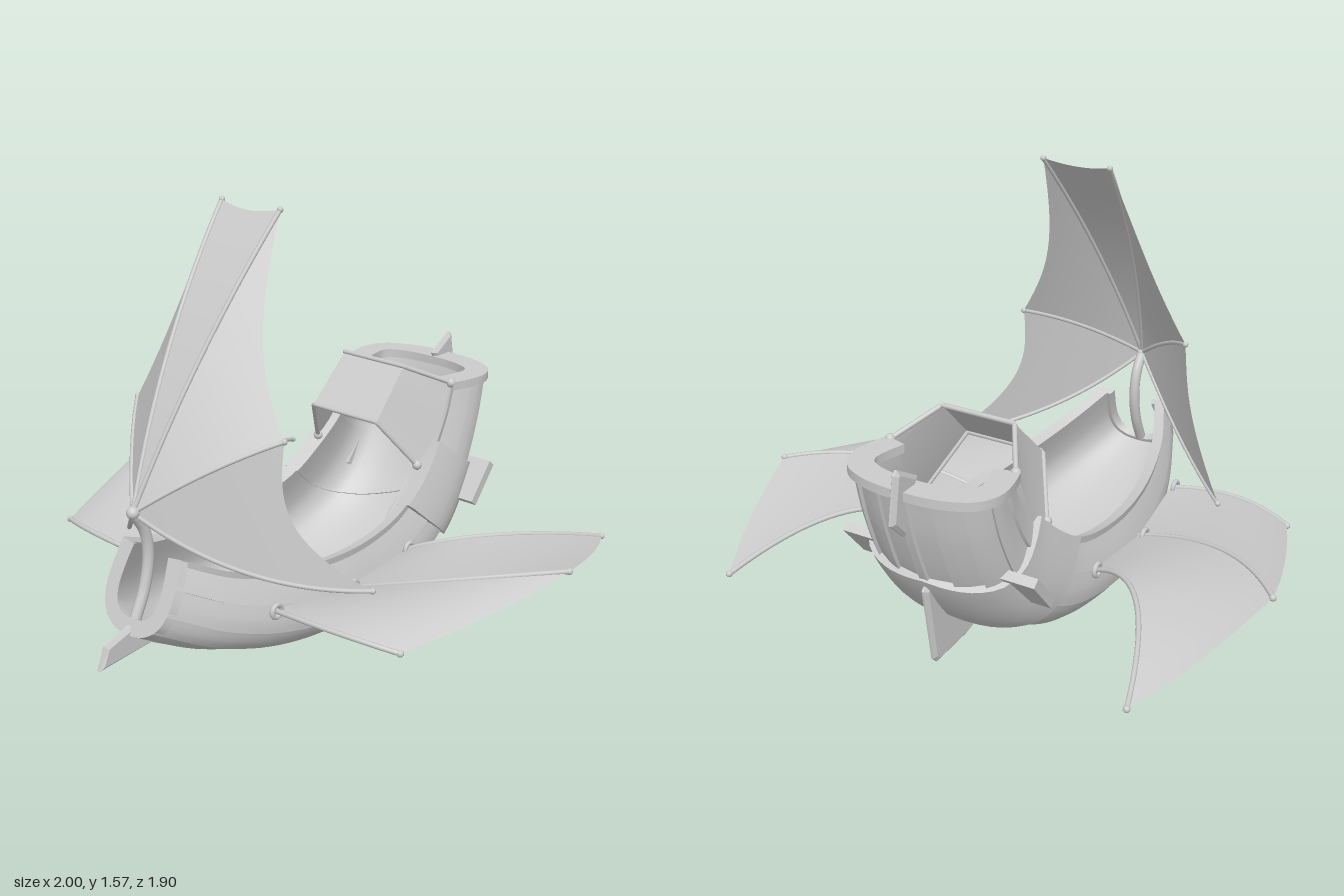
import * as THREE from 'three';
import { toCreasedNormals, mergeGeometries } from 'three/addons/utils/BufferGeometryUtils.js';

const V = (x, y, z) => new THREE.Vector3(x, y, z);
const grey = new THREE.MeshStandardMaterial({ color: 0xcccccc, side: THREE.DoubleSide });

function add(parent, name, geometry) {
  const mesh = new THREE.Mesh(geometry, grey);
  mesh.name = name;
  parent.add(mesh);
  return mesh;
}

// Surface through rows of points
function surface(rows, crease = 0.5, closed = false) {
  const n = rows[0].length, index = [];
  const cols = closed ? n : n - 1;
  for (let i = 0; i < rows.length - 1; i++) {
    for (let j = 0; j < cols; j++) {
      const a = i * n + j, b = i * n + (j + 1) % n;
      index.push(a, b, a + n, b, b + n, a + n);
    }
  }
  const g = new THREE.BufferGeometry().setFromPoints(rows.flat());
  g.setIndex(index);
  g.computeVertexNormals();
  return toCreasedNormals(g, crease);
}

// Hull stations: keel and gunwale (z, y) and half width, bow to stern
const stations = [
  [0.82, 0.24, 0.70, 0.50, 0.145], [0.60, 0.125, 0.53, 0.42, 0.23],
  [0.37, 0.05, 0.33, 0.375, 0.29], [0.10, 0.016, 0.10, 0.36, 0.325],
  [-0.18, 0.03, -0.10, 0.37, 0.325], [-0.42, 0.095, -0.26, 0.41, 0.315],
  [-0.60, 0.20, -0.40, 0.50, 0.30], [-0.74, 0.38, -0.50, 0.60, 0.28],
  [-0.83, 0.60, -0.57, 0.71, 0.27], [-0.875, 0.785, -0.60, 0.785, 0.265]];
const last = stations.length - 1;
const keelLine = new THREE.CatmullRomCurve3(stations.map(s => V(0, s[1], s[0])));
const topLine = new THREE.CatmullRomCurve3(stations.map(s => V(s[4], s[3], s[2])));

// Half cross-section (width fraction, height fraction), keel to gunwale
const section = new THREE.SplineCurve([[0, 0], [0.32, 0.015], [0.62, 0.08], [0.88, 0.22],
  [1, 0.45], [0.98, 0.72], [0.9, 1]].map(p => new THREE.Vector2(...p)));

// Point on the hull: p = station, s = -1..1 around the section, off = distance outward
function hullPoint(p, s, off = 0) {
  const b = keelLine.getPoint(p / last), t = topLine.getPoint(p / last);
  const w = t.x, up = V(0, t.y - b.y, t.z - b.z), h = up.length();
  up.normalize();
  const a = Math.abs(s), q = section.getPoint(a), d = section.getTangent(a);
  const n = new THREE.Vector2(d.y * h, -d.x * w).normalize();
  const x = a < 1e-6 ? 0 : q.x * w + n.x * off;
  return b.addScaledVector(up, q.y * h + n.y * off).setX(Math.sign(s) * x);
}

// Closed U-shaped ring, outer side then inner side
function ring(p, outer, inner, strakes = 0) {
  const out = [], inn = [], m = strakes ? strakes * 4 : 20;
  for (let i = -m; i <= m; i++) {
    const s = i / m;
    const lap = strakes ? 0.014 * (1 - (Math.abs(i) % 4) / 4) : 0;
    out.push(hullPoint(p, s, outer + lap));
    inn.push(hullPoint(p, s, inner));
    // Step under each overlapping plank
    if (strakes && i % 4 === 0 && i !== 0 && Math.abs(i) !== m) {
      const low = hullPoint(p, s * 0.998, outer + 0.002);
      if (i > 0) { out.splice(out.length - 1, 0, low); inn.push(inn[inn.length - 1].clone()); }
      else { out.push(low); inn.push(inn[inn.length - 1].clone()); }
    }
  }
  return out.concat(inn.reverse());
}

// Thick U-shaped shell with closed ends
function shell(rings) {
  const cap = r => {
    const n = r.length / 2;
    return surface([r.slice(0, n), r.slice(n).reverse()]);
  };
  return mergeGeometries([surface(rings, 0.45, true), cap(rings[0]), cap(rings[rings.length - 1])]);
}

// Curve through a middle point
const arc = (a, m, b) => new THREE.QuadraticBezierCurve3(a, m.clone().multiplyScalar(2)
  .addScaledVector(a, -0.5).addScaledVector(b, -0.5), b);

function spar(parent, name, curve, r = 0.009) {
  add(parent, name, new THREE.TubeGeometry(curve, 24, r, 8));
  const tip = add(parent, name + 'Tip', new THREE.SphereGeometry(r * 1.35, 10, 8));
  tip.position.copy(curve.getPoint(1));
}

// Cloth between two spars, with its free edge cut in by a fraction
function membrane(a, b, cut) {
  const rows = [];
  for (let i = 0; i <= 14; i++) {
    const k = i / 14, row = [];
    for (let j = 0; j <= 14; j++) {
      const t = j / 14 * (1 - cut * 4 * k * (1 - k));
      row.push(a.getPoint(t).lerp(b.getPoint(t), k));
    }
    rows.push(row);
  }
  return surface(rows, 1);
}

// Upright centre-line fin from a (z, y) outline
function fin(parent, name, outline) {
  const shape = new THREE.Shape(outline.map(p => new THREE.Vector2(...p)));
  const g = new THREE.ExtrudeGeometry(shape, { depth: 0.008, bevelThickness: 0.01,
    bevelSize: 0.014, bevelOffset: -0.014, bevelSegments: 1 });
  g.translate(0, 0, -0.004).rotateY(-Math.PI / 2);
  add(parent, name, g);
}

export function createModel() {
  const ship = new THREE.Group();
  ship.name = 'flyingShip';

  // Planked hull, keel strip and end rims
  const rings = [];
  for (let i = 0; i <= 54; i++) rings.push(ring(i / 54 * last, -0.006, -0.035, 5));
  add(ship, 'hull', shell(rings));
  const keel = [];
  for (let i = 0; i <= 40; i++) {
    keel.push([[-0.05, 0], [-0.04, 0.015], [0.04, 0.015], [0.05, 0]]
      .map(([s, o]) => hullPoint(i / 40 * last, s, o)));
  }
  add(ship, 'keel', surface(keel));
  add(ship, 'bowRim', shell([ring(0, 0.006, -0.05), ring(0.13, 0.006, -0.05)]));
  add(ship, 'sternRim', shell([-0.012, 0.02].map(dy =>
    ring(last, 0.018, -0.07).map(p => p.setY(p.y + dy)))));

  // Collar wrapped round the rising stern, narrowing to the keel
  const collar = [];
  for (let i = 0; i <= 12; i++) {
    const k = i / 12;
    const row = o => Array.from({ length: 33 }, (_, j) => {
      const s = j / 16 - 1, a = Math.abs(s);
      return hullPoint(THREE.MathUtils.lerp(6.4 - 1.25 * a, 7.3 - 0.3 * a, k), s, o);
    });
    collar.push(row(0.022).concat(row(-0.04).reverse()));
  }
  add(ship, 'sternCollar', shell(collar));

  // Fins
  fin(ship, 'bowFin', [[0.7, 0.17], [0.95, 0.15], [0.92, 0.23], [0.79, 0.27]]);
  fin(ship, 'sternFin', [[-0.8, 0.82], [-0.905, 0.885], [-0.92, 0.87], [-0.95, 0.71],
    [-0.88, 0.64], [-0.85, 0.75]]);
  fin(ship, 'rudder', [[-0.46, 0.12], [-0.55, 0.095], [-0.73, 0.088], [-0.75, 0.11],
    [-0.79, 0.39], [-0.76, 0.42], [-0.65, 0.32]]);

  for (const side of [1, -1]) {
    const label = side > 0 ? 'left' : 'right';
    const sideFin = add(ship, label + 'SideFin', new THREE.BoxGeometry(0.14, 0.035, 0.17));
    sideFin.position.set(side * 0.3, 0.42, -0.645);
    sideFin.rotation.set(0.885, 0, 0);

    // Side wing: root, middle and tip of each spar
    const wing = new THREE.Group();
    wing.name = label + 'Wing';
    ship.add(wing);
    const spars = [
      [[0.325, 0.275, -0.23], [0.58, 0.345, -0.42], [0.77, 0.255, -0.85]],
      [[0.335, 0.25, 0.1], [0.70, 0.355, -0.01], [0.99, 0.39, -0.26]],
      [[0.30, 0.28, 0.44], [0.56, 0.30, 0.455], [0.79, 0.275, 0.39]]
    ].map(s => arc(...s.map(([x, y, z]) => V(side * x, y, z))));
    spars.forEach(c => {
      spar(wing, 'wingSpar', c);
      const boss = add(wing, 'wingSocket', new THREE.TorusGeometry(0.022, 0.009, 8, 16));
      boss.position.copy(c.getPoint(0.03));
      boss.rotation.y = Math.PI / 2;
    });
    add(wing, 'wingMembrane', membrane(spars[0], spars[1], -0.03));
    add(wing, 'wingMembrane', membrane(spars[1], spars[2], -0.05));
  }

  // Fan sail on a curved mast
  const sail = new THREE.Group();
  sail.name = 'sail';
  ship.add(sail);
  const apex = V(0, 0.65, 0.775);
  const ribs = [
    [[0.28, 0.445, 0.545], [0.57, 0.37, 0.257]],
    [[0.175, 0.785, 0.61], [0.34, 0.88, 0.43]],
    [[0.072, 1.125, 0.53], [0.13, 1.56, 0.215]]];
  const fan = side => ribs.map(([m, t]) => arc(apex, V(side * m[0], m[1], m[2]), V(side * t[0], t[1], t[2])));
  const all = [...fan(1), ...fan(-1).reverse()];
  all.forEach(c => spar(sail, 'sailRib', c, 0.008));
  [0.18, 0.12, 0.02, 0.12, 0.18].forEach((cut, i) =>
    add(sail, 'sailMembrane', membrane(all[i], all[i + 1], cut)));
  add(sail, 'sailHub', new THREE.SphereGeometry(0.022, 16, 12)).position.copy(apex);
  add(sail, 'mast', new THREE.TubeGeometry(new THREE.CatmullRomCurve3([apex, V(0, 0.58, 0.73),
    V(0, 0.49, 0.715), V(0, 0.38, 0.735), V(0, 0.27, 0.785)]), 24, 0.02, 10));

  // Cabin awning between two bent hoops
  const hoops = [
    [[0.24, 0.80, -0.6], [0.14, 0.88, -0.44]],
    [[0.24, 0.53, -0.405], [0.15, 0.71, -0.275]]
  ].map(([f, t]) => [V(...f), V(...t), V(-t[0], t[1], t[2]), V(-f[0], f[1], f[2])]);
  for (const h of hoops) {
    const path = new THREE.CurvePath();
    for (let i = 0; i < 3; i++) path.add(new THREE.LineCurve3(h[i], h[i + 1]));
    add(ship, 'awningHoop', new THREE.TubeGeometry(path, 60, 0.009, 8));
    for (const p of [h[0], h[3]]) {
      add(ship, 'hoopFoot', new THREE.SphereGeometry(0.018, 12, 8)).position.copy(p);
    }
  }
  const cloth = [];
  for (let i = 0; i <= 8; i++) {
    const k = i / 8, sag = 0.025 * 4 * k * (1 - k);
    cloth.push(hoops[0].map((p, j) => {
      const q = p.clone().lerp(hoops[1][j], k);
      return j % 3 === 0 ? q.add(V(0, -sag, -sag)) : q;
    }));
  }
  add(ship, 'awning', surface(cloth, 0.5));

  return ship;
}
